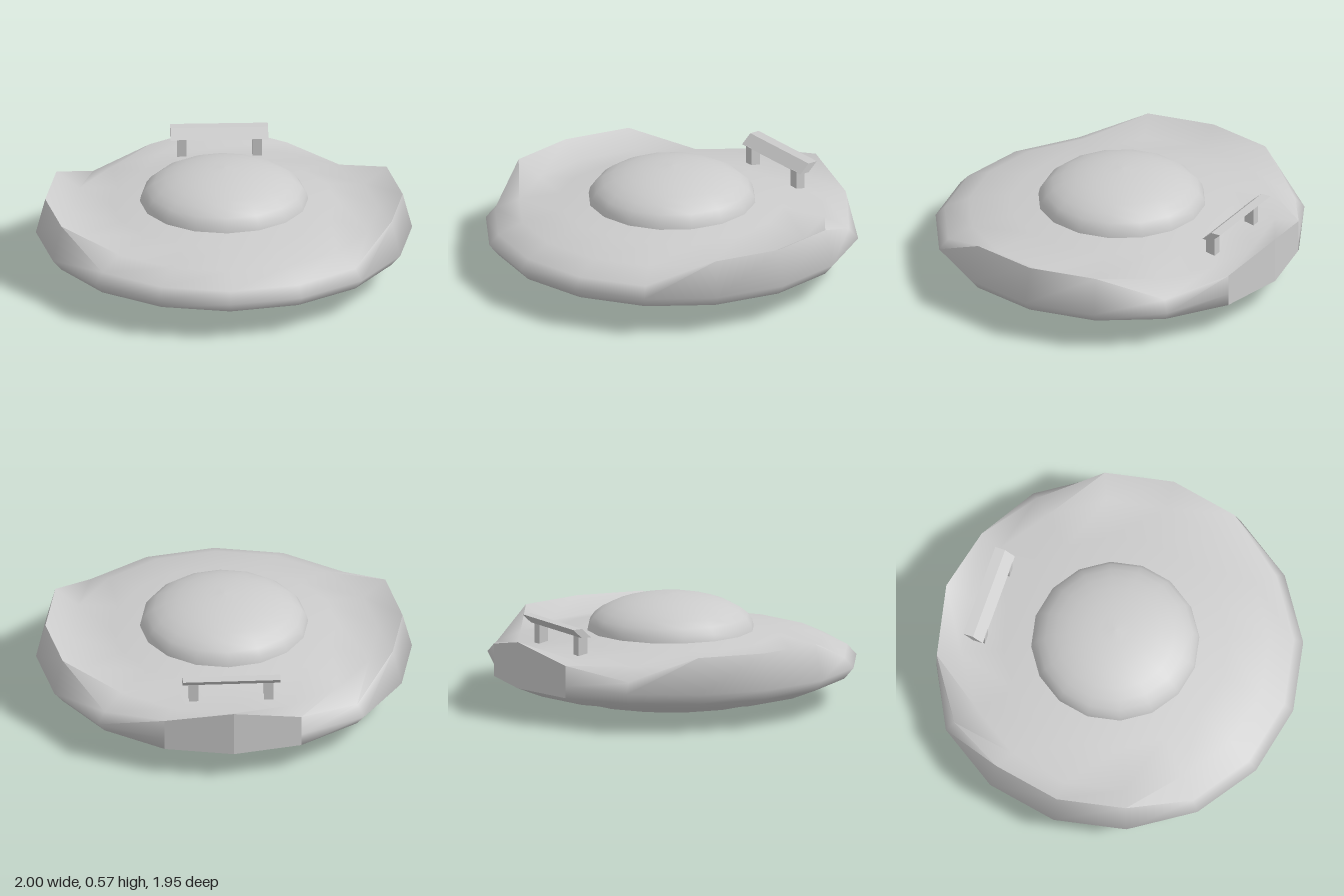
import * as THREE from 'three';
import { toCreasedNormals } from 'three/addons/utils/BufferGeometryUtils.js';

const SIDES = 16;
const CENTRE_Z = -0.03;
const material = new THREE.MeshStandardMaterial({ color: 0xcccccc });

// Hull rings as [radius, height], from the underside up to the dome
const LOW = 1, RIM = 2, TOP = 3;
const hullRings = [[0.8, 0.095], [0.95, 0.155], [1, 0.215], [0.95, 0.27],
  [0.82, 0.33], [0.6, 0.37], [0.44, 0.388]];
hullRings.unshift([0.58, 0.05]);
const low = LOW + 1, rim = RIM + 1, top = TOP + 1;

// Point on a hull ring; j counts 16ths of a turn from +x towards +z
function hullPoint(i, j) {
  let [r, y] = hullRings[i];
  const k = j % SIDES;
  const backDistance = Math.abs(k - 12);
  const sideDistance = Math.min(k % 8, 8 - (k % 8));
  const onSide = (k <= 1 || k >= 15 || (k >= 7 && k <= 9)) && sideDistance <= 1;
  if (i === top && (onSide || backDistance === 0)) y = 0.405; // raised lips
  if (i === top && backDistance === 1) y = 0.33;
  if (i === rim && backDistance <= 1) { r = 0.95; y = 0.22; } // cut-off tail
  const a = (k / SIDES) * Math.PI * 2;
  return new THREE.Vector3(Math.cos(a) * r, y, Math.sin(a) * r);
}

// Skin of quads over the hull grid, for the cells that pass the test
function hullSkin(test, crease) {
  const positions = [];
  for (let i = 0; i < hullRings.length - 1; i++) {
    for (let j = 0; j < SIDES; j++) {
      if (!test(i, j)) continue;
      const a = hullPoint(i, j), b = hullPoint(i, j + 1);
      const c = hullPoint(i + 1, j + 1), d = hullPoint(i + 1, j);
      for (const p of [a, d, b, b, d, c]) positions.push(p.x, p.y, p.z);
    }
  }
  const g = new THREE.BufferGeometry();
  g.setAttribute('position', new THREE.Float32BufferAttribute(positions, 3));
  return toCreasedNormals(g, crease);
}

const lathe = (points) =>
  new THREE.LatheGeometry(points.map(([r, y]) => new THREE.Vector2(r, y)), SIDES);

function add(parent, name, geometry, x = 0, y = 0, z = 0) {
  const mesh = new THREE.Mesh(geometry, material);
  mesh.name = name;
  mesh.position.set(x, y, z);
  parent.add(mesh);
  return mesh;
}

export function createModel() {
  const model = new THREE.Group();
  model.name = 'saucer';

  const body = new THREE.Group();
  body.name = 'body';
  body.position.z = CENTRE_Z;
  model.add(body);

  // Hull and the flat tail panel closing its cut-off back
  const isTail = (i, j) => (i === low || i === rim) && (j === 11 || j === 12);
  add(body, 'hull', hullSkin((i, j) => !isTail(i, j), 1.5));
  add(body, 'tailPanel', hullSkin(isTail, 0.3));

  // Underside step, base and hollow
  add(body, 'undersideStep', lathe([[0.53, 0.03], [0.58, 0.05]]));
  add(body, 'base', lathe([[0.31, 0], [0.53, 0.03]]));
  add(body, 'hollow', lathe([[0, 0.07], [0.2, 0.06], [0.28, 0.035], [0.31, 0]]));

  // Dome
  const domeProfile = [];
  for (let i = 0; i <= 8; i++) {
    const a = (i / 8) * Math.PI / 2;
    domeProfile.push([i === 8 ? 0 : 0.448 * Math.cos(a), 0.385 + 0.19 * Math.sin(a)]);
  }
  add(body, 'dome', lathe(domeProfile));

  // Rear wing: a slanted bar on two posts
  const wing = new THREE.Group();
  wing.name = 'rearWing';
  model.add(wing);
  const section = new THREE.Shape([[0.685, 0.445], [0.74, 0.445], [0.795, 0.495], [0.74, 0.495]]
    .map(([z, y]) => new THREE.Vector2(z, y)));
  const bar = new THREE.ExtrudeGeometry(section, { depth: 0.52, bevelEnabled: false });
  bar.translate(0, 0, -0.26).rotateY(Math.PI / 2);
  add(wing, 'wingBar', bar);
  for (const side of [-1, 1]) {
    add(wing, 'wingPost', new THREE.BoxGeometry(0.05, 0.12, 0.055), side * 0.2, 0.388, -0.7125);
  }
  return model;
}
